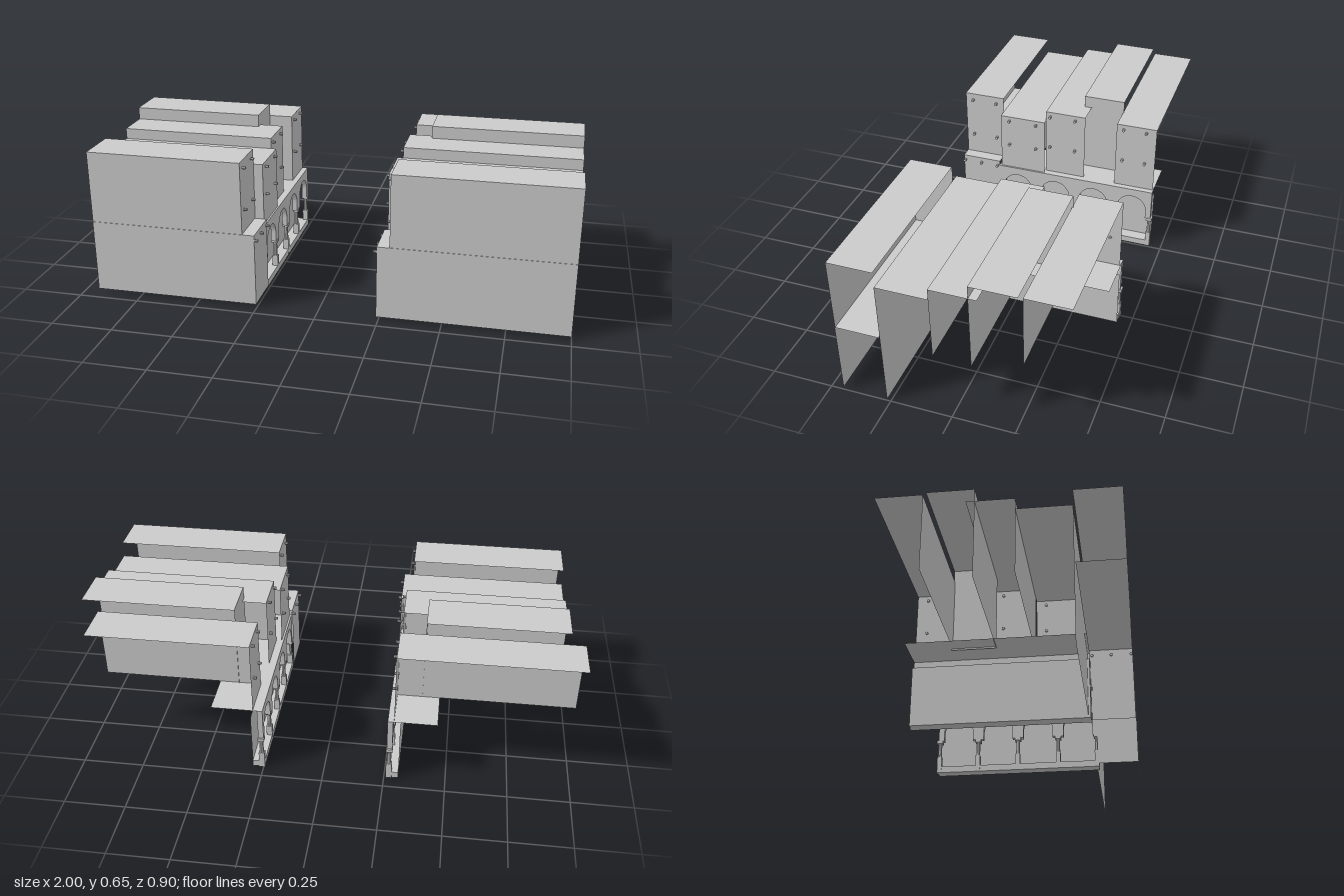
import * as THREE from 'three';

const mat = new THREE.MeshStandardMaterial({ color: 0xcccccc, side: THREE.DoubleSide, flatShading: true });

function add(parent, name, geometry) {
  const mesh = new THREE.Mesh(geometry, mat);
  mesh.name = name;
  parent.add(mesh);
  return mesh;
}

// Single-sheet panels: facing the street (x), along the row (z) and flat (y)
function streetPanel(parent, name, x, y0, y1, z0, z1) {
  const m = add(parent, name, new THREE.PlaneGeometry(z1 - z0, y1 - y0));
  m.rotation.y = Math.PI / 2;
  m.position.set(x, (y0 + y1) / 2, (z0 + z1) / 2);
}
function crossPanel(parent, name, x0, x1, y0, y1, z) {
  const m = add(parent, name, new THREE.PlaneGeometry(Math.abs(x1 - x0), y1 - y0));
  m.position.set((x0 + x1) / 2, (y0 + y1) / 2, z);
}
function flatPanel(parent, name, x0, x1, y, z0, z1) {
  const m = add(parent, name, new THREE.PlaneGeometry(Math.abs(x1 - x0), z1 - z0));
  m.rotation.x = -Math.PI / 2;
  m.position.set((x0 + x1) / 2, y, (z0 + z1) / 2);
}
function box(parent, name, x0, x1, y0, y1, z0, z1) {
  const m = add(parent, name, new THREE.BoxGeometry(Math.abs(x1 - x0), y1 - y0, z1 - z0));
  m.position.set((x0 + x1) / 2, (y0 + y1) / 2, (z0 + z1) / 2);
}

// House shell: facade, front party wall and roof, open at the back and outer end
function house(parent, h, s) {
  const g = new THREE.Group();
  g.name = h.name;
  parent.add(g);
  const a = s * h.inner, b = s * h.outer;
  streetPanel(g, 'facade', a, h.y0, h.y1, h.z0, h.z1);
  crossPanel(g, 'partyWall', a, b, h.wallBase ?? h.y0, h.y1, h.z1);
  flatPanel(g, 'roof', a, b, h.y1, h.z0, h.z1);
  // Small pegs standing out of the facade
  for (const [y, z] of h.pegs ?? []) {
    const peg = add(g, 'facadePeg', new THREE.CylinderGeometry(0.006, 0.006, 0.02, 8));
    peg.rotation.z = Math.PI / 2;
    peg.position.set(a - s * 0.004, y, z);
  }
}

const grid = (ys, zs) => ys.flatMap(y => zs.map(z => [y, z]));

// Arcade with four round arches on slim columns
function arcade(parent, x, s) {
  const g = new THREE.Group();
  g.name = 'arcade';
  parent.add(g);
  const zBack = -0.443, zFront = 0.275, bays = 4;
  const pitch = (zFront - zBack) / bays, r = 0.065, spring = 0.19, foot = 0.15;

  // Arched wall, drawn along z then turned to face the street
  const shape = new THREE.Shape();
  shape.moveTo(zBack, 0.29);
  shape.lineTo(zBack, foot);
  for (let i = 0; i < bays; i++) {
    const c = zBack + pitch * (i + 0.5);
    shape.lineTo(c - r, foot);
    shape.lineTo(c - r, spring);
    shape.absarc(c, spring, r, Math.PI, 0, true);
    shape.lineTo(c + r, foot);
  }
  shape.lineTo(zFront, foot);
  shape.lineTo(zFront, 0.29);
  const depth = 0.022;
  const wall = add(g, 'archedWall', new THREE.ExtrudeGeometry(shape, { depth, bevelEnabled: false, curveSegments: 8 }));
  wall.rotation.y = -Math.PI / 2;
  wall.position.x = s > 0 ? x + depth : x;

  // Columns with pedestal and capital
  for (let i = 0; i <= bays; i++) {
    const z = Math.min(Math.max(zBack + pitch * i, zBack + 0.006), zFront - 0.008);
    const cx = x + s * 0.011;
    const col = add(g, 'column', new THREE.CylinderGeometry(0.008, 0.009, 0.09, 8));
    col.position.set(cx, 0.1, z);
    box(g, 'pedestal', cx - 0.012, cx + 0.012, 0, 0.075, z - 0.01, z + 0.01);
    box(g, 'capital', cx - 0.013, cx + 0.013, 0.138, 0.152, z - 0.013, z + 0.013);
  }
  // Plinth, rear wall and ceiling slab
  box(g, 'plinth', x, x + s * 0.05, 0, 0.028, zBack, zFront);
  streetPanel(g, 'rearWall', x + s * 0.05, 0.028, 0.253, zBack, zFront);
  flatPanel(g, 'ceilingSlab', x, s * 0.455, 0.29, zBack, zFront);
}

function streetRow(s, d) {
  const row = new THREE.Group();
  row.name = s > 0 ? 'leftRow' : 'rightRow';
  const outer = d.outer;
  const houses = [
    { name: 'frontGroundFloor', inner: d.ground, outer, y0: 0.012, y1: 0.315, z0: 0.27, z1: 0.447,
      pegs: grid([0.292], [0.44, 0.36, 0.282]) },
    { name: 'frontHouse', inner: d.front, outer, y0: 0.315, y1: 0.615, z0: 0.265, z1: 0.445,
      pegs: grid([0.585, 0.41], [0.41, 0.3]) },
    { name: 'lowHouse', inner: d.low, outer, y0: 0.29, y1: 0.55, z0: 0.06, z1: 0.265, wallBase: 0.005,
      pegs: grid([0.53, 0.41], [0.225, 0.1]) },
    { name: 'middleHouse', inner: d.middle, outer, y0: 0.29, y1: 0.595, z0: -0.12, z1: 0.06,
      pegs: grid([0.573, 0.42], [0.04, -0.075]) },
    { name: 'tallHouse', inner: d.tall, outer, y0: 0.283, y1: 0.647, z0: -0.267, z1: -0.088 },
    { name: 'backHouse', inner: d.back, outer: d.backOuter, y0: 0.29, y1: 0.595, z0: -0.44, z1: -0.263,
      pegs: grid([0.573, 0.42], [-0.295, -0.395]) },
  ];
  houses.forEach(h => house(row, h, s));
  arcade(row, s * d.arcade, s);
  return row;
}

export function createModel() {
  const model = new THREE.Group();
  model.name = 'arcadedStreet';
  model.add(
    streetRow(-1, { outer: 0.94, backOuter: 1, ground: 0.253, front: 0.303, low: 0.265, middle: 0.287, tall: 0.385, back: 0.283, arcade: 0.258 }),
    streetRow(1, { outer: 1, backOuter: 0.94, ground: 0.24, front: 0.29, low: 0.253, middle: 0.277, tall: 0.375, back: 0.284, arcade: 0.245 }),
  );
  return model;
}
